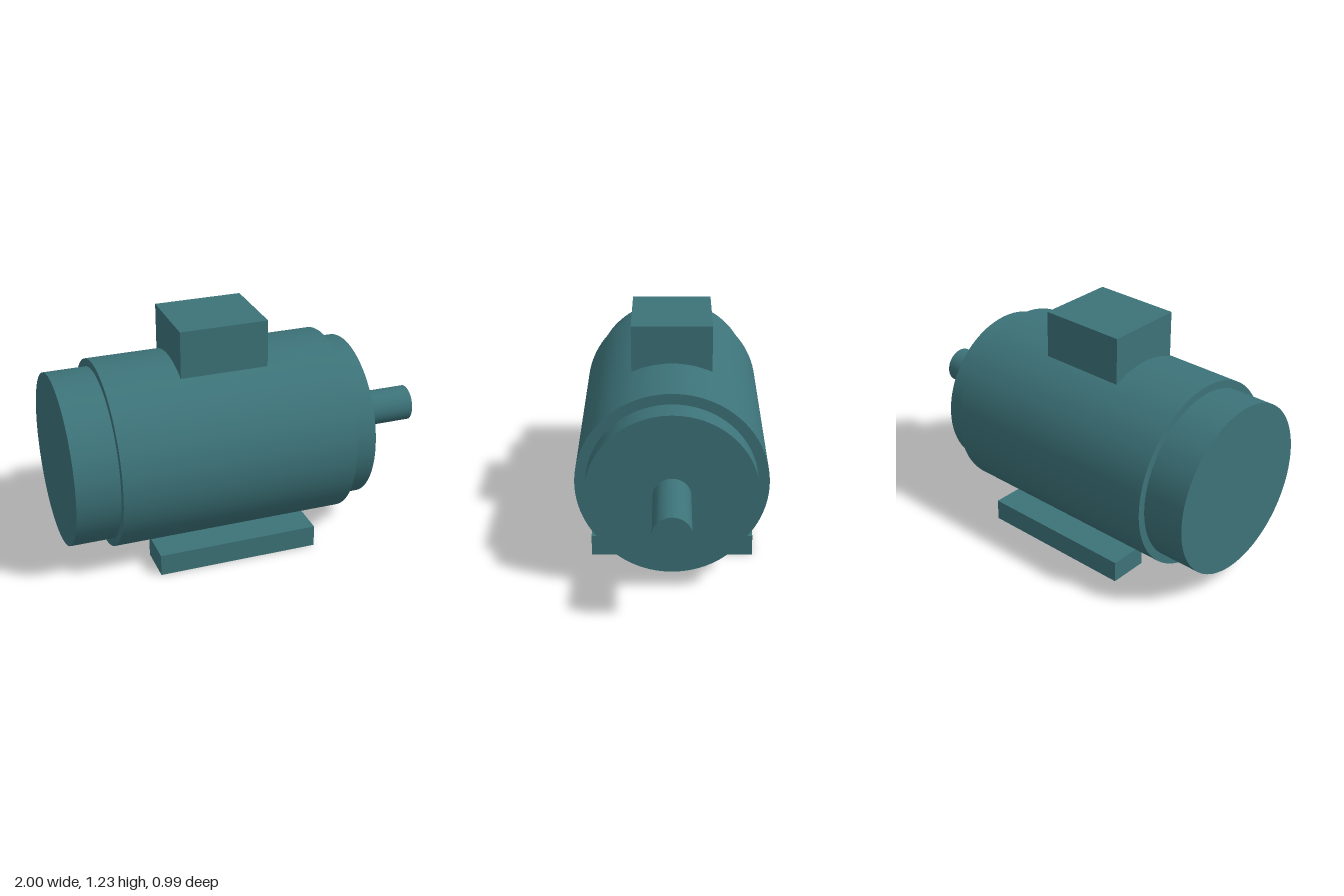
import * as THREE from 'three';

const AXIS_Y = 0.537;

export function createModel() {
  const group = new THREE.Group();
  const paint = new THREE.MeshStandardMaterial({ color: 0x3c7379 });
  paint.name = 'teal paint';

  const add = (name, geometry, x, y, z) => {
    const mesh = new THREE.Mesh(geometry, paint);
    mesh.name = name;
    mesh.position.set(x, y, z);
    group.add(mesh);
  };

  // Round part lying along x, from x0 to x1
  const drum = (name, radius, x0, x1) => {
    const geometry = new THREE.CylinderGeometry(radius, radius, x1 - x0, 96);
    geometry.rotateZ(-Math.PI / 2);
    add(name, geometry, (x0 + x1) / 2, AXIS_Y, 0);
  };

  // Motor housing and the parts on its axis
  drum('fanCover', 0.452, -1, -0.773);
  drum('housing', 0.493, -0.773, 0.478);
  drum('endShield', 0.437, 0.478, 0.61);
  drum('shaft', 0.096, 0.61, 1);

  // Terminal box, sunk into the housing
  add('terminalBox', new THREE.BoxGeometry(0.466, 0.252, 0.42), -0.147, 1.107, 0);

  // Mounting feet on both sides
  for (const side of [1, -1]) {
    const name = side > 0 ? 'frontFoot' : 'backFoot';
    add(name, new THREE.BoxGeometry(0.85, 0.114, 0.21), -0.15, 0.057, side * 0.324);
  }

  return group;
}
